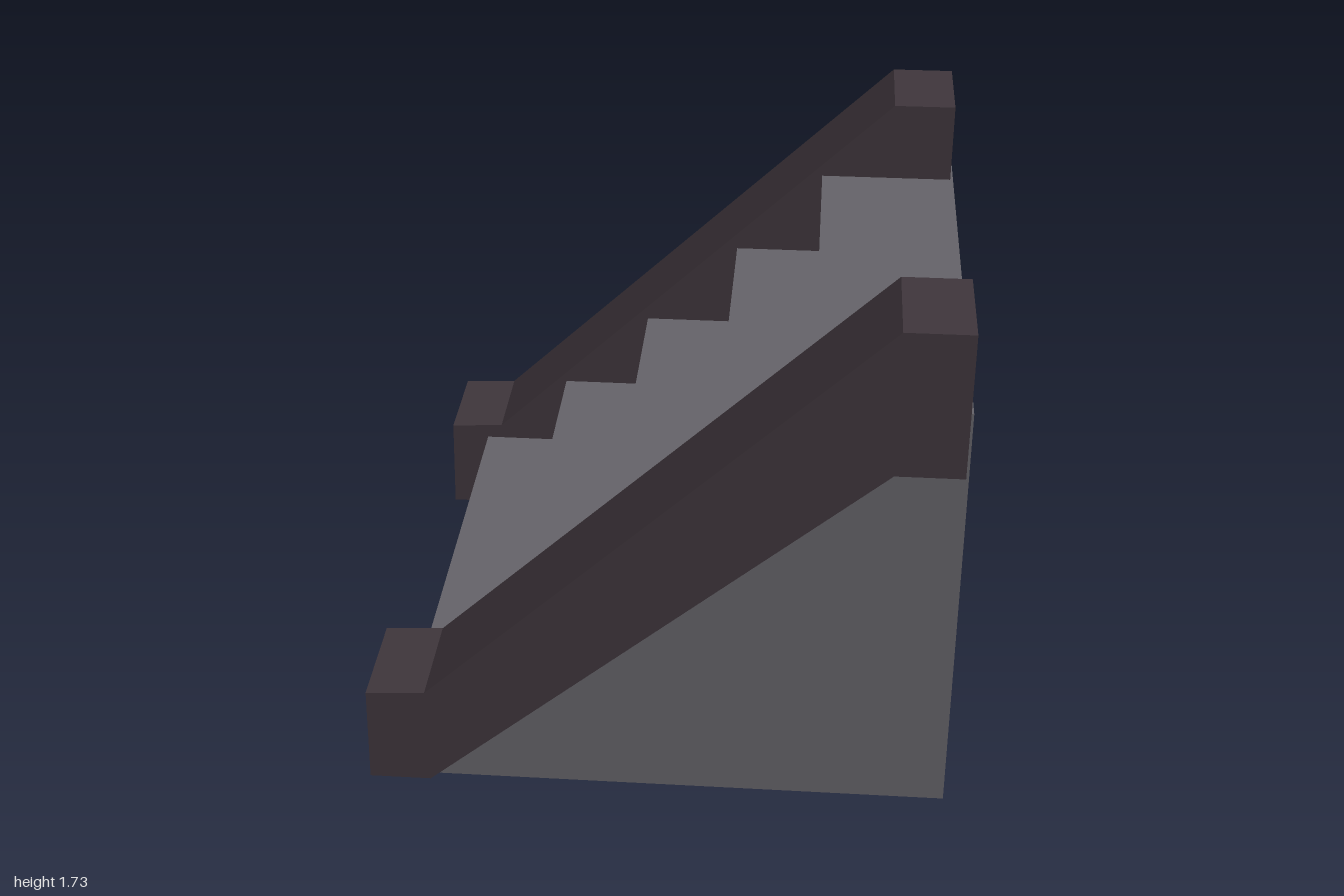
import * as THREE from 'three';

const stone = new THREE.MeshStandardMaterial({ color: 0x656369, side: THREE.DoubleSide });
stone.name = 'grey stone';
const dark = new THREE.MeshStandardMaterial({ color: 0x3f363c, side: THREE.DoubleSide });
dark.name = 'dark trim';

// Sweep an open x/y polyline along z; faces point to the left of its direction
function strip(points, z0, z1) {
  const pos = [];
  for (let i = 0; i < points.length - 1; i++) {
    const [ax, ay] = points[i];
    const [bx, by] = points[i + 1];
    pos.push(ax, ay, z0, ax, ay, z1, bx, by, z1);
    pos.push(ax, ay, z0, bx, by, z1, bx, by, z0);
  }
  const geo = new THREE.BufferGeometry();
  geo.setAttribute('position', new THREE.Float32BufferAttribute(pos, 3));
  geo.computeVertexNormals();
  return geo;
}

// Flat x/y outline at a given z, facing +z or -z
function plate(points, z, facing) {
  const geo = new THREE.ShapeGeometry(new THREE.Shape(points.map(p => new THREE.Vector2(...p))));
  if (facing < 0) {
    geo.scale(1, 1, -1);
    const idx = geo.index.array;
    for (let i = 0; i < idx.length; i += 3) [idx[i], idx[i + 1]] = [idx[i + 1], idx[i]];
    geo.computeVertexNormals();
  }
  geo.translate(0, 0, z);
  return geo;
}

function add(parent, name, geo, material) {
  const mesh = new THREE.Mesh(geo, material);
  mesh.name = name;
  parent.add(mesh);
}

export function createModel() {
  const model = new THREE.Group();
  model.name = 'staircase';

  // Folded sheet of risers and treads
  const xs = [-0.795, -0.48, -0.165, 0.165, 0.465, 0.93];
  const ys = [0, 0.3, 0.565, 0.85, 1.155, 1.455];
  const stairs = [];
  for (let i = 0; i < 6; i++) {
    stairs.push([xs[i], ys[i]]);
    if (i < 5) stairs.push([xs[i], ys[i + 1]]);
  }
  add(model, 'steps', strip(stairs, -0.97, 0.97), stone);

  // Hollow rails, open at the top end and under the foot
  const railTop = [[-0.94, 0], [-0.93, 0.345], [-0.74, 0.355], [0.71, 1.73], [0.92, 1.73]];
  const railUnder = [[0.92, 1.25], [0.71, 1.25], [-0.74, 0]];
  const wall = [...stairs, [0.935, 0]];

  for (const side of [1, -1]) {
    const rail = new THREE.Group();
    rail.name = side > 0 ? 'leftRail' : 'rightRail';
    const z0 = side > 0 ? 0.655 : -1;
    const z1 = side > 0 ? 1 : -0.655;
    add(rail, 'railTop', strip(railTop, z0, z1), dark);
    add(rail, 'railUnderside', strip(railUnder, z0, z1), dark);
    const outline = [...railTop, ...railUnder];
    add(rail, 'railFrontSide', plate(outline, z1, 1), dark);
    add(rail, 'railBackSide', plate(outline, z0, -1), dark);
    model.add(rail);

    // Thin wall closing the side of the stairs
    add(model, side > 0 ? 'leftWall' : 'rightWall', plate(wall, 0.97 * side, side), stone);
  }
  return model;
}
